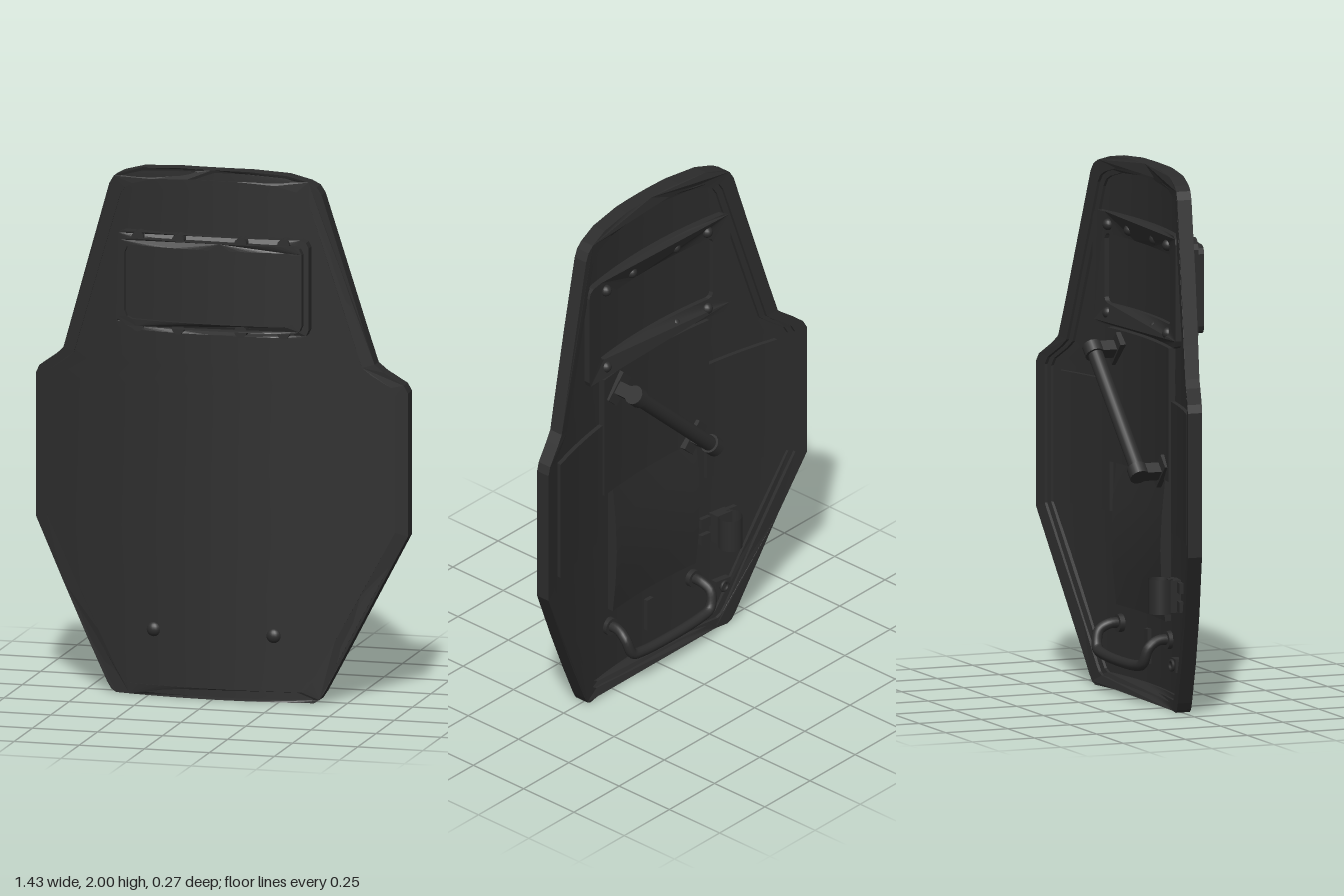
import * as THREE from 'three';

const CURVE = 0.258; // the whole shield bows backwards by CURVE * x^2
const bow = (x) => -CURVE * x * x;

// half outline, [y, half width], bottom to top
const ROWS = [[0, 0.38], [0.012, 0.4], [0.04, 0.418], [0.2, 0.5], [0.4, 0.6], [0.63, 0.715], [0.9, 0.715],
  [1.17, 0.715], [1.2, 0.7], [1.25, 0.63], [1.28, 0.598], [1.4, 0.562], [1.65, 0.488], [1.92, 0.408],
  [1.95, 0.39], [1.967, 0.36], [1.99, 0.28], [2, 0.14]];

export function createModel() {
  const group = new THREE.Group();
  const black = new THREE.MeshStandardMaterial({ color: 0x2c2c2c });
  black.name = 'matte black';
  const blackSheet = new THREE.MeshStandardMaterial({ color: 0x2c2c2c, side: THREE.DoubleSide });
  blackSheet.name = 'matte black sheet';

  const add = (name, geo, x = 0, y = 0, z = 0, mat = black) => {
    const mesh = new THREE.Mesh(geo, mat);
    mesh.name = name;
    mesh.position.set(x, y, z);
    group.add(mesh);
    return mesh;
  };

  // move vertices by a rule
  const warp = (geo, rule) => {
    const p = geo.attributes.position;
    const v = new THREE.Vector3();
    for (let i = 0; i < p.count; i++) {
      rule(v.fromBufferAttribute(p, i));
      p.setXYZ(i, v.x, v.y, v.z);
    }
    geo.computeVertexNormals();
    return geo;
  };
  const bend = (geo) => warp(geo, (v) => { v.z += bow(v.x); });

  // bowed block between two corners
  const slab = (x0, x1, y0, y1, z0, z1) => bend(
    new THREE.BoxGeometry(x1 - x0, y1 - y0, z1 - z0, 16, 4, 1)
      .translate((x0 + x1) / 2, (y0 + y1) / 2, (z0 + z1) / 2));

  // bowed frame between two outlines
  const ring = (outer, inner, z0, z1) => {
    const shape = new THREE.Shape(outer);
    shape.holes.push(new THREE.Path(inner));
    return bend(new THREE.ExtrudeGeometry(shape, { depth: z1 - z0, bevelEnabled: false }).translate(0, 0, z0));
  };

  // closed outline from [y, half width] rows, with the level edges subdivided
  const outline = (rows) => {
    const n = 14, pts = [];
    const level = ([y, w], dir) => {
      for (let i = 1; i < n; i++) pts.push(new THREE.Vector2(dir * w * (1 - 2 * i / n), y));
    };
    rows.forEach(([y, w]) => pts.push(new THREE.Vector2(w, y)));
    level(rows[rows.length - 1], 1);
    [...rows].reverse().forEach(([y, w]) => pts.push(new THREE.Vector2(-w, y)));
    level(rows[0], -1);
    return pts;
  };
  const roundRect = (w, y0, y1, r) => outline([
    [y0, w - r], [y0 + 0.3 * r, w - 0.3 * r], [y0 + r, w],
    [y1 - r, w], [y1 - 0.3 * r, w - 0.3 * r], [y1, w - r]]);

  // main panel
  const n = ROWS.length - 1;
  add('panel', warp(new THREE.BoxGeometry(2, n, 1, 24, n, 1), (v) => {
    const [y, w] = ROWS[Math.round(v.y + n / 2)];
    v.x *= w - 0.008;
    v.y = 1 + (y - 1) * 0.99;
    v.z = (v.z > 0 ? 0.068 : 0.035) + bow(v.x);
  }));

  // raised edge rim
  const inset = (d, s) => ROWS.map(([y, w]) => [1 + (y - 1) * s, w - d]);
  add('rim', ring(outline(ROWS), outline(inset(0.045, 0.96)), 0.014, 0.071));
  add('rimStep', ring(outline(inset(0.03, 0.975)), outline(inset(0.065, 0.945)), 0.025, 0.05));

  // viewing window
  add('windowFlange', ring(roundRect(0.37, 1.385, 1.755, 0.03), roundRect(0.32, 1.43, 1.71, 0.03), 0.05, 0.108));
  add('windowFrame', ring(roundRect(0.352, 1.405, 1.735, 0.03), roundRect(0.327, 1.43, 1.71, 0.03), 0.05, 0.135));
  add('windowPane', slab(-0.34, 0.34, 1.42, 1.72, 0.028, 0.118));
  add('windowBackPlate', ring(roundRect(0.39, 1.36, 1.78, 0.03), roundRect(0.31, 1.44, 1.7, 0.02), 0.01, 0.05));
  for (const x of [-0.28, -0.12, 0.12, 0.28]) {
    for (const y of [1.405, 1.735]) {
      add('windowBolt', new THREE.SphereGeometry(0.022, 14, 10), x, y, 0.008 + bow(x));
      add('windowNut', new THREE.CylinderGeometry(0.024, 0.024, 0.06, 12).rotateX(Math.PI / 2), x, y, 0.088 + bow(x));
    }
  }

  // padding on the back
  add('upperPad', slab(-0.29, 0.29, 0.85, 1.35, 0.008, 0.04));
  add('lowerPad', warp(slab(-0.23, 0.23, 0.32, 0.85, 0.012, 0.04), (v) => {
    if (v.z - bow(v.x) < 0.02) v.z -= 0.02 * Math.sin(Math.PI * (v.y - 0.32) / 0.53);
  }));
  add('leftPad', slab(0.29, 0.6, 0.66, 1.15, 0.018, 0.04));
  add('rightPad', slab(-0.6, -0.29, 0.66, 1.15, 0.018, 0.04));

  // diagonal grip handle
  const top = new THREE.Vector3(0.21, 1.28, -0.1);
  const low = new THREE.Vector3(-0.21, 0.88, -0.1);
  const angle = Math.atan2(top.y - low.y, top.x - low.x);
  const grip = add('gripBar', new THREE.CylinderGeometry(0.029, 0.029, top.distanceTo(low), 20), 0, 1.08, -0.1);
  grip.rotation.z = angle - Math.PI / 2;
  for (const end of [top, low]) {
    const post = add('gripPost', new THREE.BoxGeometry(0.045, 0.05, 0.12), end.x, end.y, -0.055);
    const collar = add('gripCollar', new THREE.CylinderGeometry(0.037, 0.037, 0.045, 16), end.x, end.y, -0.102);
    const foot = add('gripFoot', new THREE.BoxGeometry(0.06, 0.12, 0.025), end.x, end.y, -0.008);
    post.rotation.z = foot.rotation.z = angle;
    collar.rotation.z = angle - Math.PI / 2;
  }

  // lower carrying handle with its bolts through the front
  const path = new THREE.CatmullRomCurve3([
    [0.23, 0.25, 0.04], [0.23, 0.25, -0.03], [0.235, 0.225, -0.07], [0.215, 0.165, -0.085], [0.16, 0.15, -0.086],
    [-0.16, 0.15, -0.086], [-0.215, 0.165, -0.085], [-0.235, 0.225, -0.07], [-0.23, 0.25, -0.03], [-0.23, 0.25, 0.04],
  ].map((p) => new THREE.Vector3(...p)));
  add('carryHandle', new THREE.TubeGeometry(path, 64, 0.02, 12));
  for (const x of [-0.23, 0.23]) {
    add('handleBolt', new THREE.SphereGeometry(0.028, 16, 12).scale(1, 1, 0.8), x, 0.25, 0.062 + bow(x));
    add('handleWasher', new THREE.CylinderGeometry(0.034, 0.034, 0.02, 16).rotateX(Math.PI / 2), x, 0.25, 0.025 + bow(x));
  }
  add('strapTab', slab(-0.017, 0.017, 0.13, 0.26, 0.018, 0.04));

  // open spring clip
  add('springClip', new THREE.CylinderGeometry(0.045, 0.045, 0.13, 24, 1, true, 0.5, Math.PI * 2 - 1),
    -0.345, 0.435, -0.07, blackSheet);
  add('clipBase', slab(-0.385, -0.315, 0.375, 0.495, -0.008, 0.04));
  for (const [x, y] of [[-0.405, 0.47], [-0.405, 0.4], [-0.285, 0.47], [-0.285, 0.4]]) {
    add('clipTab', slab(x - 0.022, x + 0.022, y - 0.02, y + 0.02, 0.018, 0.04));
  }

  // small buckle near the bottom corner
  add('buckle', slab(-0.39, -0.325, 0.15, 0.2, 0.01, 0.04));
  add('buckleLoop', new THREE.TorusGeometry(0.018, 0.006, 8, 16), -0.357, 0.175, 0.003 + bow(0.357));

  return group;
}
